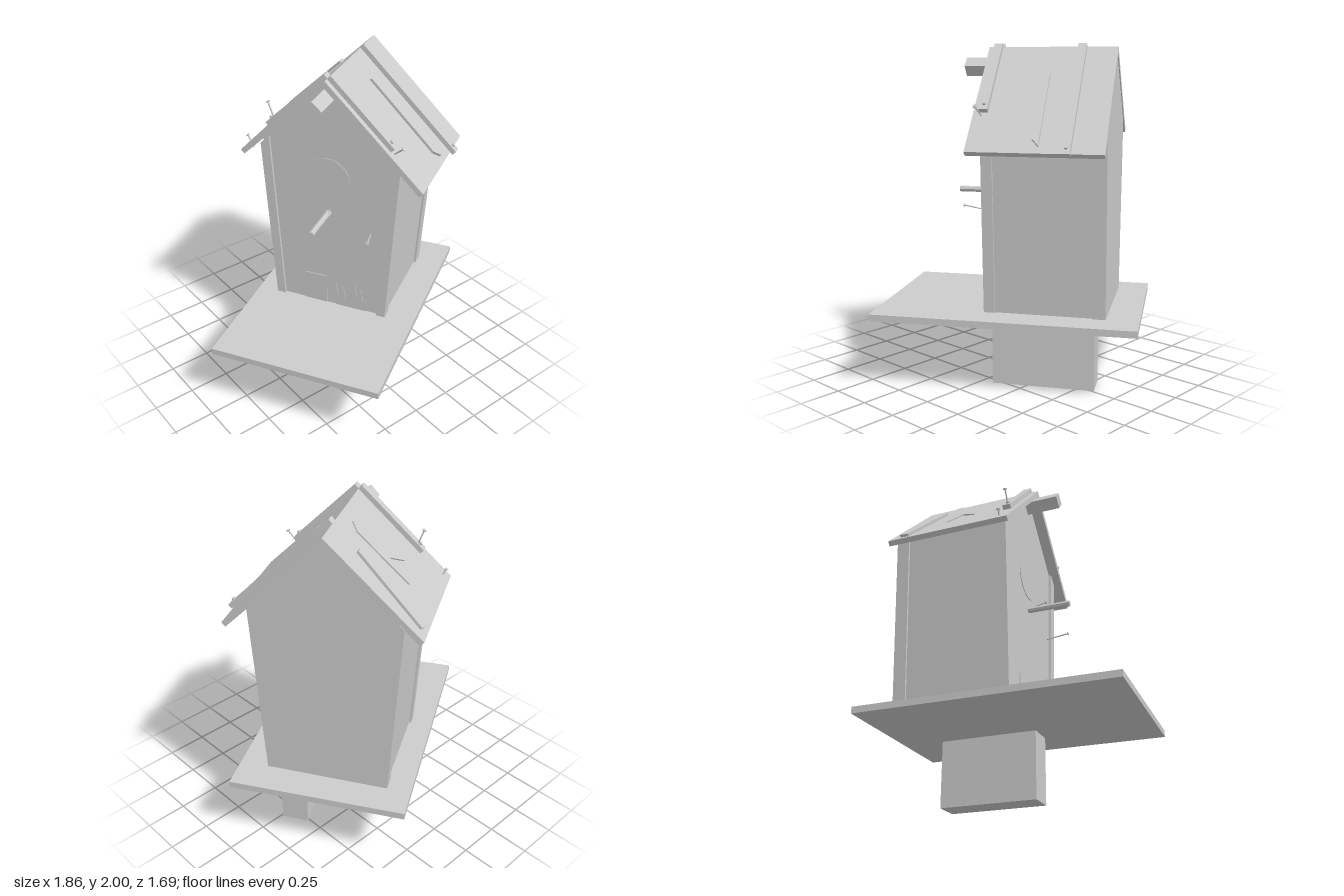
import * as THREE from 'three';

const mat = new THREE.MeshStandardMaterial({ color: 0xcccccc, flatShading: true });
const RIDGE_Y = 1.98, RIDGE_Z = -0.025;

function add(parent, name, geo, x = 0, y = 0, z = 0) {
  const m = new THREE.Mesh(geo, mat);
  m.name = name;
  m.position.set(x, y, z);
  parent.add(m);
  return m;
}
const box = (parent, name, w, h, d, x, y, z) => add(parent, name, new THREE.BoxGeometry(w, h, d), x, y, z);

function extrude(points, depth) {
  const shape = new THREE.Shape(points.map(p => new THREE.Vector2(p[0], p[1])));
  return new THREE.ExtrudeGeometry(shape, { depth, bevelEnabled: false });
}

// Cross-section (z, y) swept along the house's length, from x0 (front) to x1 (back)
function section(parent, name, points, x0, x1) {
  const m = add(parent, name, extrude(points, x1 - x0), x1, 0, RIDGE_Z);
  m.rotation.y = -Math.PI / 2;
  return m;
}

// Flared pentagon of the walls, up to the underside of the roof
const pentagon = (bottom, top) => [
  [-bottom, 0.45], [bottom, 0.45], [top, 1.95 - top], [0, 1.95], [-top, 1.95 - top],
];

// Nail from its head to its tip
function nail(parent, head, tip) {
  const a = new THREE.Vector3(...head), b = new THREE.Vector3(...tip);
  const g = new THREE.Group();
  g.name = 'nail';
  const len = a.distanceTo(b);
  add(g, 'nailShank', new THREE.CylinderGeometry(0.005, 0.004, len, 6), 0, -len / 2, 0);
  add(g, 'nailHead', new THREE.CylinderGeometry(0.012, 0.012, 0.006, 8));
  g.position.copy(a);
  g.quaternion.setFromUnitVectors(new THREE.Vector3(0, 1, 0), a.clone().sub(b).normalize());
  parent.add(g);
}

// Roof side frame: local y is the slope's normal, local z runs along the slope
function roofSide(parent, name, side, span, drop, battens, plates) {
  const g = new THREE.Group();
  const angle = Math.atan2(drop, span), length = Math.hypot(span, drop);
  g.name = name;
  g.position.set(0, RIDGE_Y, RIDGE_Z);
  g.rotation.x = side * angle;
  box(g, 'roofPanel', 0.768, 0.032, length, 0.209, -0.016, side * length / 2);
  for (const [x, reach] of battens) {
    const len = reach / Math.cos(angle);
    box(g, 'batten', 0.05, 0.03, len, x, 0.014, side * len / 2);
    add(g, 'nailHead', new THREE.CylinderGeometry(0.01, 0.01, 0.012, 8), x, 0.034, side * (len - 0.04));
  }
  for (const { label, height, points } of plates) {
    const pts = points.map(([x, d]) => [x, side * d / Math.cos(angle)]);
    const m = add(g, label, extrude(pts, height + 0.01), 0, height, 0);
    m.rotation.x = Math.PI / 2;
  }
  parent.add(g);
}

export function createModel() {
  const root = new THREE.Group();
  root.name = 'birdhouse';

  // Base board
  box(root, 'baseBoard', 1.55, 0.04, 1.04, 0, 0.43, 0).rotation.y = 0.54;

  const house = new THREE.Group();
  house.name = 'house';
  house.rotation.y = Math.PI / 6;
  root.add(house);

  // Support post below the board
  box(house, 'post', 0.608, 0.412, 0.165, 0.218, 0.206, 0.207);

  // Walls with a wider back frame and front corner trims
  section(house, 'walls', pentagon(0.352, 0.417), -0.108, 0.57);
  section(house, 'backWall', pentagon(0.365, 0.43), 0.51, 0.588);
  for (const s of [-1, 1]) {
    const trim = [[0.31, 0.45], [0.365, 0.45], [0.43, 1.51], [0.375, 1.56]];
    section(house, 'frontCornerTrim', trim.map(([z, y]) => [s * z, y]), -0.125, -0.06);
  }

  // Entrance disc, patch and splintered board on the front
  const disc = add(house, 'entrance', new THREE.CylinderGeometry(0.14, 0.14, 0.01, 32), -0.107, 1.34, -0.04);
  disc.rotation.z = Math.PI / 2;
  section(house, 'frontPatch', [[-0.165, 0.45], [-0.025, 0.45], [-0.025, 0.65], [-0.165, 0.65]], -0.113, -0.1);
  section(house, 'splinteredBoard', [
    [0.035, 0.45], [0.235, 0.45], [0.235, 0.53], [0.215, 0.5], [0.205, 0.64], [0.175, 0.52],
    [0.165, 0.66], [0.145, 0.56], [0.105, 0.5], [0.085, 0.6], [0.055, 0.52], [0.035, 0.62],
  ], -0.113, -0.1);

  // Perch and ridge beam
  const perch = add(house, 'perch', new THREE.CylinderGeometry(0.018, 0.018, 0.28, 8), -0.23, 1.12, -0.035);
  perch.rotation.z = Math.PI / 2;
  box(house, 'ridgeBeam', 0.24, 0.078, 0.078, -0.2, 1.865, -0.035).rotation.x = 0.72;

  // Roof
  roofSide(house, 'rightRoof', 1, 0.58, 0.57, [[-0.115, 0.375], [0.387, 0.595]], [
    { label: 'loosePlank', height: 0.016, points: [[0.2, 0.12], [0.225, 0.165], [0.232, 0.55], [0.19, 0.515]] },
  ]);
  roofSide(house, 'leftRoof', -1, 0.535, 0.51, [[-0.11, 0.365]], [
    { label: 'loosePlank', height: 0.016, points: [[0.467, 0.515], [0.529, 0.5], [0.444, 0.135], [0.4, 0.137]] },
    {
      label: 'jaggedPatch', height: 0.008,
      points: [[0.128, 0.317], [0.232, 0.257], [0.28, 0.379], [0.29, 0.095], [0.242, 0.055]],
    },
  ]);

  // Bent nails
  nail(root, [-0.09, 1.07, 0.36], [0.01, 1.04, 0.27]);
  nail(root, [-0.17, 1.18, 0.11], [-0.12, 1.14, 0.04]);
  nail(root, [0.085, 1.65, 0.44], [0.07, 1.58, 0.36]);
  nail(root, [-0.29, 1.77, -0.3], [-0.27, 1.63, -0.25]);
  nail(root, [-0.37, 1.54, -0.41], [-0.35, 1.47, -0.38]);

  return root;
}
